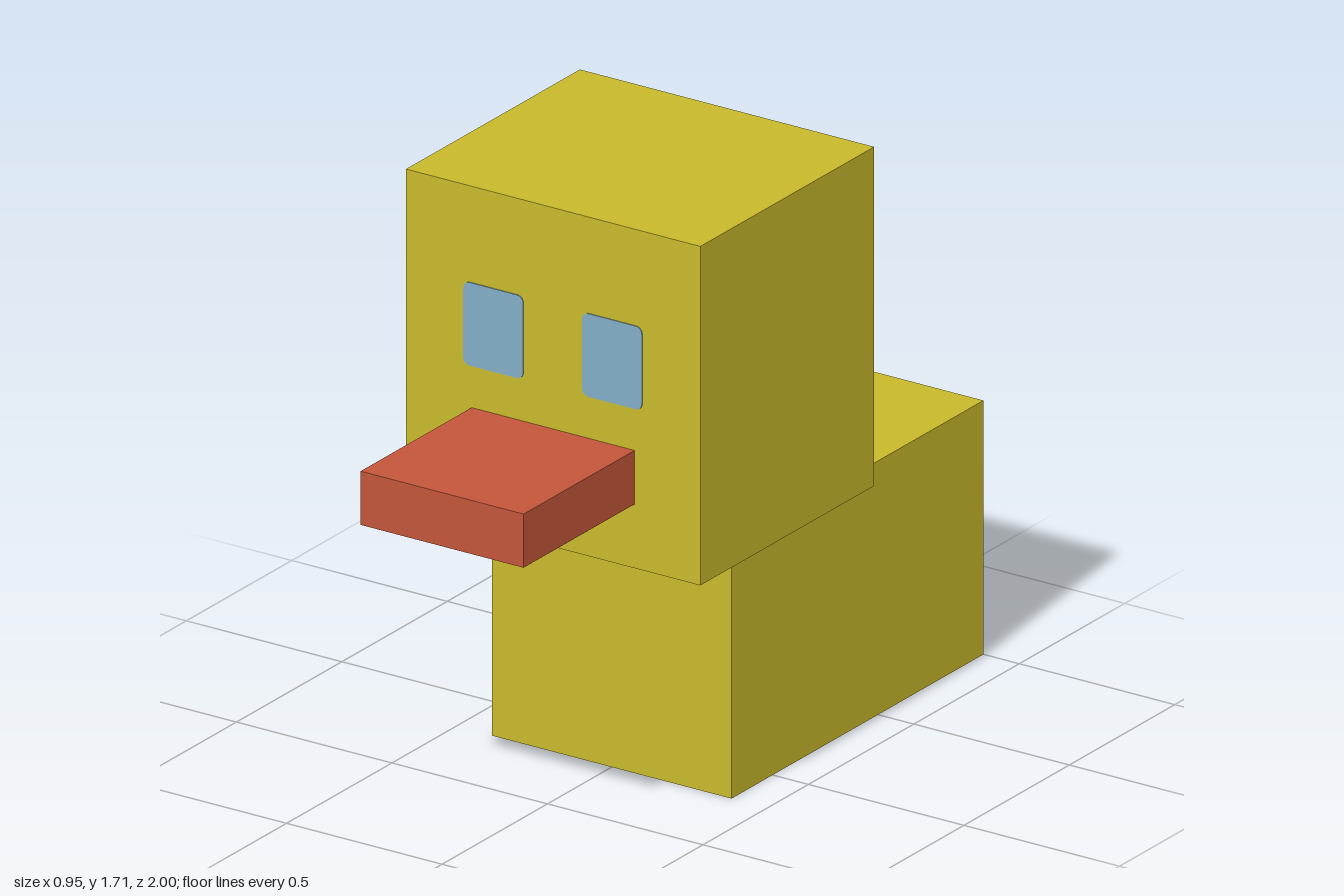
import * as THREE from 'three';

const material = (name, color) => {
  const m = new THREE.MeshStandardMaterial({ color });
  m.name = name;
  return m;
};

// Box given by its lower and upper corners
function box(name, mat, [x0, y0, z0], [x1, y1, z1]) {
  const mesh = new THREE.Mesh(new THREE.BoxGeometry(x1 - x0, y1 - y0, z1 - z0), mat);
  mesh.name = name;
  mesh.position.set((x0 + x1) / 2, (y0 + y1) / 2, (z0 + z1) / 2);
  return mesh;
}

// Flat rectangle with rounded corners, centred on the origin
function roundedRect(w, h, r) {
  const x = w / 2 - r, y = h / 2 - r;
  const s = new THREE.Shape();
  s.absarc(x, y, r, 0, Math.PI / 2);
  s.absarc(-x, y, r, Math.PI / 2, Math.PI);
  s.absarc(-x, -y, r, Math.PI, Math.PI * 1.5);
  s.absarc(x, -y, r, Math.PI * 1.5, Math.PI * 2);
  return s;
}

export function createModel() {
  const yellow = material('yellow', 0xc8b92c);
  const red = material('red', 0xc3563a);
  const blue = material('blue', 0x82aec6);

  const model = new THREE.Group();
  model.name = 'duck';

  // Body, head set forward on top of it, and flat bill
  model.add(
    box('body', yellow, [-0.385, 0, -1], [0.385, 0.733, 0.195]),
    box('head', yellow, [-0.473, 0.733, -0.352], [0.473, 1.712, 0.473]),
    box('bill', red, [-0.262, 0.918, 0.473], [0.262, 1.073, 1])
  );

  // Eyes: thin rounded plates on the face
  const eyeGeometry = new THREE.ExtrudeGeometry(roundedRect(0.192, 0.24, 0.02), {
    depth: 0.004, bevelEnabled: false, curveSegments: 5,
  });
  for (const [name, side] of [['leftEye', 1], ['rightEye', -1]]) {
    const eye = new THREE.Mesh(eyeGeometry, blue);
    eye.name = name;
    eye.position.set(side * 0.191, 1.314, 0.472);
    model.add(eye);
  }
  return model;
}
